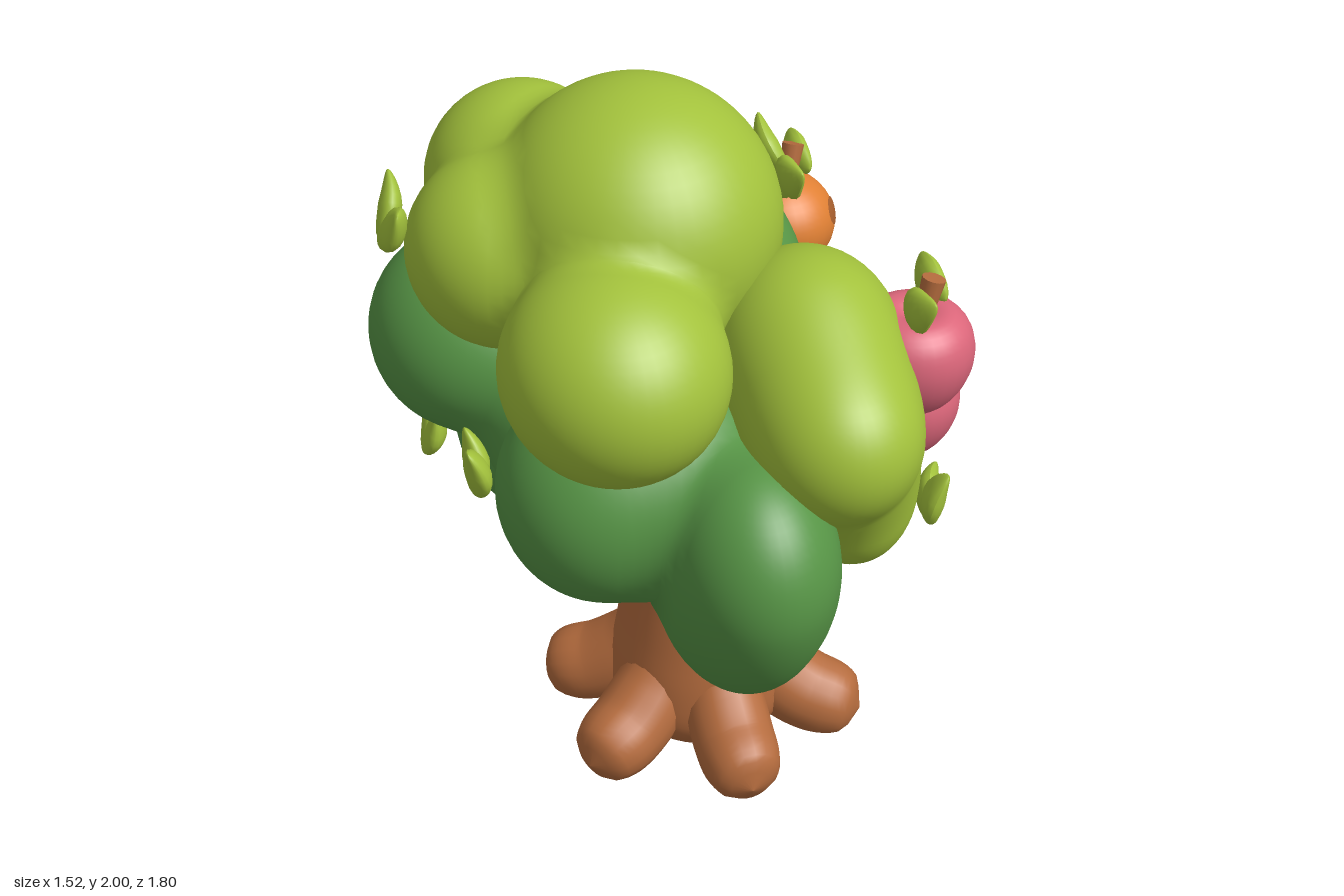
import * as THREE from 'three';
import { mergeVertices } from 'three/addons/utils/BufferGeometryUtils.js';

const mat = (name, color) => Object.assign(new THREE.MeshStandardMaterial({ color }), { name });

export function createModel() {
  const M = {
    light: mat('light foliage', 0xa3c23c),
    dark: mat('dark foliage', 0x579546),
    bark: mat('bark', 0xb56c3e),
    pink: mat('pink fruit', 0xdb667a),
    orange: mat('orange fruit', 0xe08034),
    spot: mat('fruit spot', 0xa85f2e),
  };
  const root = new THREE.Group();
  root.name = 'fruitTree';
  const add = (parent, name, geo, material) => {
    const m = new THREE.Mesh(geo, material);
    m.name = name;
    parent.add(m);
    return m;
  };

  // Smooth limb: tube with a radius per control point, resting flat on the ground
  function limb(parent, name, points, radii, sides = 18) {
    const n = 24;
    const curve = new THREE.CatmullRomCurve3(points.map((p) => new THREE.Vector3(...p)));
    const profile = new THREE.CatmullRomCurve3(radii.map((r, i) => new THREE.Vector3(i, r, 0)));
    let geo = new THREE.TubeGeometry(curve, n, 1, sides);
    const pos = geo.attributes.position;
    const v = new THREE.Vector3();
    for (let i = 0; i <= n; i++) {
      const t = curve.getUtoTmapping(i / n);
      const c = curve.getPoint(t);
      const r = Math.max(0.0005, profile.getPoint(t).y);
      for (let j = 0; j <= sides; j++) {
        const k = i * (sides + 1) + j;
        v.fromBufferAttribute(pos, k).sub(c).multiplyScalar(r).add(c);
        pos.setXYZ(k, v.x, Math.max(0, v.y), v.z);
      }
    }
    geo.deleteAttribute('uv');
    geo.deleteAttribute('normal');
    geo = mergeVertices(geo, 1e-5);
    geo.computeVertexNormals();
    return add(parent, name, geo, M.bark);
  }

  // Trunk with a flared foot
  const wood = new THREE.Group();
  wood.name = 'wood';
  root.add(wood);
  const line = (pts) => new THREE.SplineCurve(pts.map((p) => new THREE.Vector2(...p))).getPoints(30);
  const trunkLine = line([[0.2, 0.02], [0.25, 0.1], [0.25, 0.22], [0.23, 0.35], [0.21, 0.5], [0.197, 0.65], [0.2, 0.8], [0.19, 1.0]]);
  const trunk = add(wood, 'trunk', new THREE.LatheGeometry([new THREE.Vector2(0, 0.02), ...trunkLine], 36), M.bark);
  trunk.position.x = 0.05;

  // Six spreading roots
  for (let i = 0; i < 6; i++) {
    const a = Math.PI / 6 + (i * Math.PI) / 3;
    const at = (r, y) => [0.05 + r * Math.cos(a), y, r * Math.sin(a)];
    limb(wood, 'root', [at(0.1, 0.3), at(0.2, 0.17), at(0.29, 0.105), at(0.37, 0.08), at(0.425, 0.065), at(0.452, 0.06)],
      [0.09, 0.11, 0.112, 0.105, 0.075, 0]);
  }
  // Two branches carrying the outer foliage
  for (const s of [-1, 1]) {
    limb(wood, 'branch', [[0.05, 0.36, s * 0.05], [0.05, 0.52, s * 0.15], [0.05, 0.64, s * 0.26], [0.03, 0.8, s * 0.4]],
      [0.1, 0.092, 0.08, 0.075]);
  }

  // Foliage: ellipsoid lobes (x, y, z, rx, ry, rz) melted together with soft valleys
  function foliage(name, material, blend, list) {
    const g = new THREE.Group();
    g.name = name;
    root.add(g);
    const lobes = list.map(([x, y, z, rx, ry = rx, rz = rx]) => ({ c: [x, y, z], r: [rx, ry, rz] }));
    // Signed distance to the blended lobes
    const field = (x, y, z) => {
      let d = 1;
      for (const { c, r } of lobes) {
        const a = (x - c[0]) / r[0], b = (y - c[1]) / r[1], e = (z - c[2]) / r[2];
        const k = Math.hypot(a, b, e);
        const s = (k * (k - 1)) / (Math.hypot(a / r[0], b / r[1], e / r[2]) + 1e-6);
        const h = Math.max(blend - Math.abs(d - s), 0) / blend;
        d = Math.min(d, s) - h * h * blend * 0.25;
      }
      return d;
    };
    const slope = (x, y, z, h = 0.002) => new THREE.Vector3(
      field(x + h, y, z) - field(x - h, y, z),
      field(x, y + h, z) - field(x, y - h, z),
      field(x, y, z + h) - field(x, y, z - h)).normalize();
    for (const { c, r } of lobes) {
      const geo = new THREE.SphereGeometry(1, 44, 30);
      geo.scale(...r).translate(...c);
      const pos = geo.attributes.position;
      for (let i = 0; i < pos.count; i++) {
        const p = new THREE.Vector3().fromBufferAttribute(pos, i);
        const push = THREE.MathUtils.clamp(-field(p.x, p.y, p.z), 0, blend * 0.4);
        p.addScaledVector(slope(p.x, p.y, p.z), push);
        const n = slope(p.x, p.y, p.z);
        pos.setXYZ(i, p.x, p.y, p.z);
        geo.attributes.normal.setXYZ(i, n.x, n.y, n.z);
      }
      add(g, 'lobe', geo, material);
    }
  }
  foliage('crown', M.light, 0.06, [
    [-0.13, 1.64, 0.02, 0.36, 0.36, 0.37],
    [-0.3, 1.475, 0.4, 0.277, 0.267, 0.3],
    [-0.44, 1.57, -0.06, 0.25],
    [-0.33, 1.61, -0.31, 0.25],
  ]);
  foliage('frontRightFoliage', M.light, 0.12, [
    [0.2, 1.4, 0.35, 0.23, 0.25, 0.27],
    [0.19, 1.32, 0.58, 0.21, 0.22, 0.24],
    [0.27, 1.3, 0.22, 0.19, 0.23, 0.21],
    [0.28, 1.05, 0.45, 0.165, 0.21, 0.2],
    [0.24, 1.2, 0.4, 0.19, 0.23, 0.27],
  ]);
  foliage('rightFoliage', M.light, 0.1, [
    [0.38, 1.04, 0, 0.19, 0.23, 0.22],
    [0.38, 0.93, 0.2, 0.19, 0.2, 0.2],
    [0.38, 0.9, -0.2, 0.19, 0.2, 0.2],
    [0.4, 0.81, 0, 0.17, 0.175, 0.19],
  ]);
  foliage('frontFoliage', M.dark, 0.1, [
    [-0.03, 1.02, 0.63, 0.21, 0.28, 0.265],
    [-0.03, 0.85, 0.52, 0.2, 0.265, 0.28],
    [-0.32, 1.08, 0.33, 0.26, 0.28, 0.28],
    [-0.15, 1.1, 0.3, 0.3, 0.3, 0.3],
  ]);
  foliage('backFoliage', M.dark, 0.1, [
    [-0.22, 0.8, -0.4, 0.3],
    [-0.49, 1.22, -0.26, 0.27, 0.27, 0.28],
    [0.13, 1.03, -0.63, 0.21, 0.33, 0.27],
    [-0.2, 1.38, -0.48, 0.31, 0.31, 0.33],
    [0.16, 1.37, -0.46, 0.22, 0.28, 0.26],
    [0.17, 1.28, -0.2, 0.21, 0.26, 0.23],
    [0.14, 0.95, -0.38, 0.25, 0.31, 0.28],
    [-0.15, 1.1, -0.5, 0.31, 0.31, 0.29],
    [-0.25, 1.05, -0.05, 0.28, 0.31, 0.29],
    [0.05, 1.2, 0, 0.28, 0.3, 0.3],
  ]);

  // Pointed leaf running along +x from its base
  const leafGeo = new THREE.SphereGeometry(1, 16, 12);
  leafGeo.rotateZ(-Math.PI / 2);
  const lp = leafGeo.attributes.position;
  for (let i = 0; i < lp.count; i++) {
    const x = lp.getX(i);
    const taper = 1 - 0.4 * Math.max(0, x);
    lp.setXYZ(i, 0.086 * (x + 1), lp.getY(i) * 0.057 * taper, lp.getZ(i) * 0.03 * taper + 0.015 * x * x);
  }
  leafGeo.computeVertexNormals();
  function leaf(parent, angle, tilt) {
    const m = add(parent, 'leaf', leafGeo, M.light);
    m.rotation.set(tilt, 0, THREE.MathUtils.degToRad(angle));
    return m;
  }

  // Loose leaf pairs: base, outward direction, two angles seen from outside
  const sprigs = [
    [[0.265, 1.66, -0.03], [1, 0.4, 0], 150, 50],
    [[0.42, 1.04, 0.63], [0.9, 0, 0.4], 105, 15],
    [[0.4, 0.93, -0.52], [1, 0, -0.35], -10, 30],
    [[-0.715, 1.58, -0.17], [-1, 0.45, -0.2], 125, 50],
    [[-0.62, 1.15, 0.33], [-1, 0, 0.1], 70, 100],
    [[-0.59, 0.71, -0.45], [-1, 0.35, -0.3], 115, 75],
  ];
  for (const [p, d, a, b] of sprigs) {
    const g = new THREE.Group();
    g.name = 'leafPair';
    g.position.set(...p);
    g.lookAt(p[0] + d[0], p[1] + d[1], p[2] + d[2]);
    leaf(g, a, 0.2);
    leaf(g, b, 0.05);
    root.add(g);
  }

  // Fruit with a dimple, stem and two leaves
  const appleGeo = new THREE.LatheGeometry(line([[0, -0.125], [0.045, -0.142], [0.1, -0.112], [0.14, -0.05], [0.154, 0.02], [0.138, 0.085], [0.095, 0.125], [0.045, 0.125], [0, 0.095]]), 32);
  const orangeGeo = new THREE.SphereGeometry(0.15, 32, 24);
  orangeGeo.scale(1, 0.92, 1);
  function fruit(name, geo, material, x, y, z, lean) {
    const g = new THREE.Group();
    g.name = name;
    g.position.set(x, y, z);
    root.add(g);
    add(g, 'fruitBody', geo, material);
    const stem = add(g, 'stem', new THREE.CylinderGeometry(0.03, 0.02, 0.13, 12), M.bark);
    stem.position.set(0.035, 0.14, -lean * 0.03);
    stem.rotation.set(-lean * 0.3, 0, -0.25);
    const leaves = new THREE.Group();
    leaves.name = 'fruitLeaves';
    leaves.position.set(0.02, 0.125, 0);
    leaves.rotation.y = Math.PI / 2;
    leaf(leaves, 145, 0).position.z = -0.04;
    leaf(leaves, 10, 0.1).position.set(0.01, 0.01, 0.05);
    g.add(leaves);
    return g;
  }
  fruit('apple', appleGeo, M.pink, 0.452, 1.375, 0.41, 0.2);
  fruit('apple', appleGeo, M.pink, 0.608, 0.93, 0.01, 0);
  const orange = fruit('orange', orangeGeo, M.orange, 0.41, 1.275, -0.435, 1);

  // Blemish on the orange: a thin cap just above its skin
  const spotGeo = new THREE.SphereGeometry(0.152, 14, 4, 0, Math.PI * 2, 0, 0.26);
  const spot = add(orange, 'spot', spotGeo, M.spot);
  spot.quaternion.setFromUnitVectors(new THREE.Vector3(0, 1, 0), new THREE.Vector3(0.86, 0.28, 0.43).normalize());
  return root;
}
